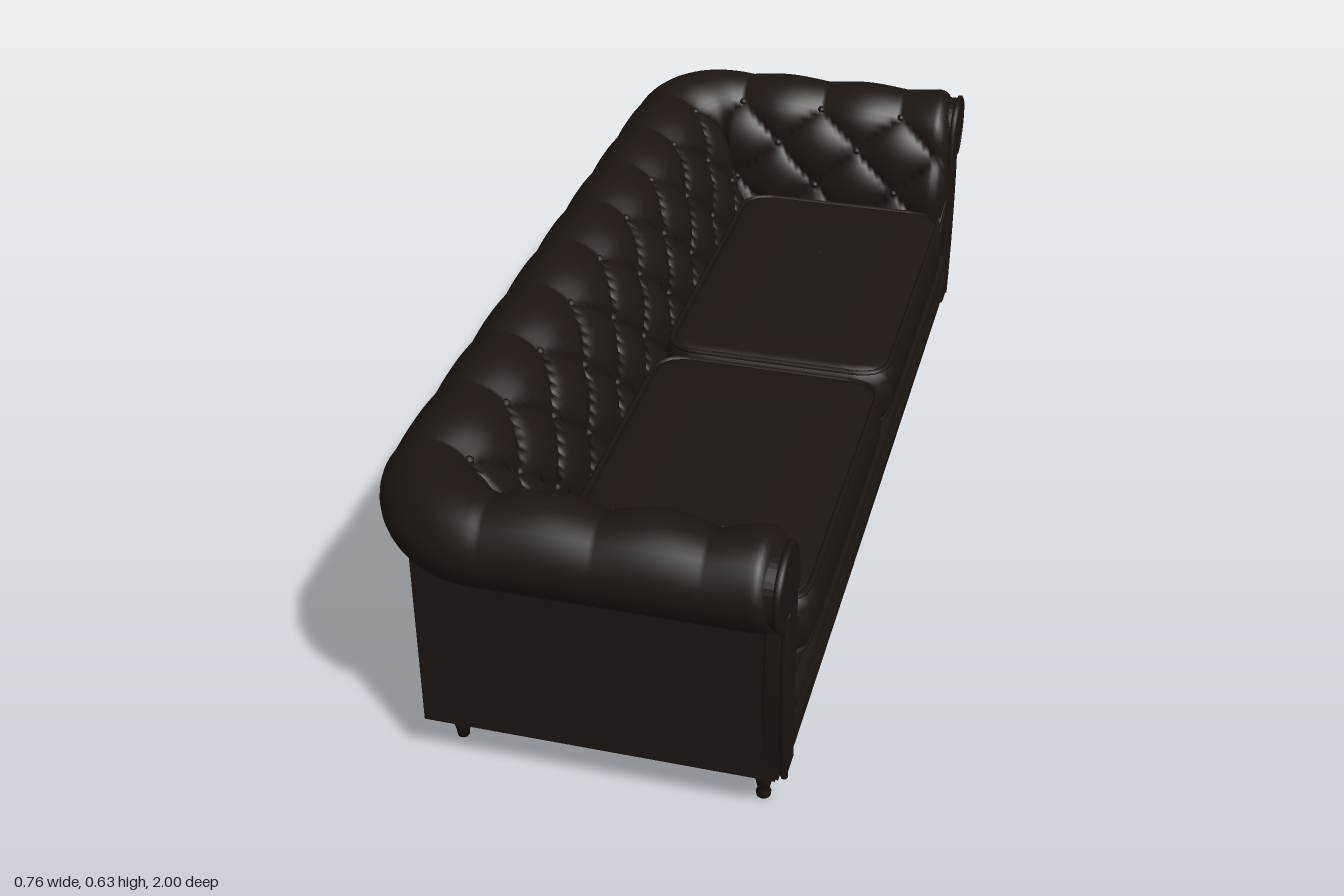
import * as THREE from 'three';
import { ParametricGeometry } from 'three/addons/geometries/ParametricGeometry.js';

const V3 = (x, y, z) => new THREE.Vector3(x, y, z);
const clamp = THREE.MathUtils.clamp;

// Cross-section of the padded back and arms: x = distance outward from the seat edge, y = height
const profile = new THREE.CatmullRomCurve3([
  [-0.01, 0.22], [0, 0.36], [0.015, 0.48], [0.05, 0.573], [0.1, 0.615], [0.15, 0.624],
  [0.195, 0.605], [0.225, 0.56], [0.226, 0.52], [0.2, 0.475], [0.16, 0.457], [0.11, 0.458],
].map(([d, y]) => V3(d, y, 0)));

// U-shaped plan: arm, corner, back, corner, arm
const CX = -0.155, CZ = 0.77, FRONT = 0.37;
const ARM = FRONT - CX, ARC = 0.16, HALF = CZ + ARC + ARM, PITCH = 0.19;

// Point on the tufted upholstery: s = distance along the U from its middle, v = 0..1 around the profile
function upholstery(s, v, out) {
  const p = profile.getPointAt(v), t = profile.getTangentAt(v);
  let d = p.x, y = p.y;
  // diamond puffs on the inside, running out as straight pleats over the roll
  const r = v * 8, row = Math.min(r, 4), k = s / PITCH;
  const f = Math.abs(Math.sin(Math.PI * (k + row / 2)) * Math.sin(Math.PI * (k - row / 2)));
  const amp = r < 4 ? 0.022 : 0.022 * Math.pow(clamp(1 - (r - 4) / 2.6, 0, 1), 1.5);
  const puff = amp * (Math.sqrt(f) - 0.7);
  d -= t.y * puff;
  y += t.x * puff;
  // rounded, closed front ends of the arms
  const e = clamp((HALF - Math.abs(s)) / 0.045, 0, 1);
  const close = Math.pow(1 - (1 - e) ** 2, 0.25);
  d = 0.1 + (d - 0.1) * close;
  y = 0.42 + (y - 0.42) * close;
  // place on the plan
  const a = Math.abs(s), side = s < 0 ? 1 : -1;
  const angle = clamp((a - CZ) / ARC, 0, 1) * Math.PI / 2;
  const lean = 0.055 * Math.cos(angle) ** 2 * clamp(1 - (y - 0.3) / 0.28, 0, 1);
  const x = CX + Math.max(0, a - CZ - ARC) - Math.cos(angle) * (d - lean);
  const z = Math.min(a, CZ) + Math.sin(angle) * d;
  return out.set(x, y, side * z);
}

// Rounded rectangle outline in plan, t = 0..1
function roundedOutline(w, l, radius) {
  const s = new THREE.Shape(), x = w / 2, y = l / 2, r = radius;
  s.moveTo(x, -y + r).lineTo(x, y - r).quadraticCurveTo(x, y, x - r, y);
  s.lineTo(-x + r, y).quadraticCurveTo(-x, y, -x, y - r);
  s.lineTo(-x, -y + r).quadraticCurveTo(-x, -y, -x + r, -y);
  s.lineTo(x - r, -y).quadraticCurveTo(x, -y, x, -y + r);
  return s;
}

export function createModel() {
  const model = new THREE.Group();
  model.name = 'sofa';
  const leather = new THREE.MeshStandardMaterial({ color: 0x1c1511 });
  const leatherOpen = new THREE.MeshStandardMaterial({ color: 0x1c1511, side: THREE.DoubleSide });
  const wood = new THREE.MeshStandardMaterial({ color: 0x18110d });

  const add = (name, geometry, x = 0, y = 0, z = 0, material = leather, parent = model) => {
    const mesh = new THREE.Mesh(geometry, material);
    mesh.name = name;
    mesh.position.set(x, y, z);
    parent.add(mesh);
    return mesh;
  };
  const block = (name, x0, x1, y0, y1, z0, z1) =>
    add(name, new THREE.BoxGeometry(x1 - x0, y1 - y0, z1 - z0), (x0 + x1) / 2, (y0 + y1) / 2, (z0 + z1) / 2);
  const piping = (name, points, radius, closed, parent = model) =>
    add(name, new THREE.TubeGeometry(new THREE.CatmullRomCurve3(points, closed, 'centripetal'),
      points.length * 2, radius, 6, closed), 0, 0, 0, leather, parent);

  // Frame
  block('seatBase', -0.295, 0.36, 0.1, 0.25, -0.9, 0.9);
  block('backPanel', -0.295, -0.21, 0.1, 0.5, -0.905, 0.905);
  for (const s of [1, -1]) block('armPanel', -0.294, 0.355, 0.1, 0.5, s > 0 ? 0.83 : -0.905, s > 0 ? 0.905 : -0.83);

  // Tufted rolled back and arms in one sweep
  add('tuftedBackAndArms', new ParametricGeometry(
    (u, v, out) => upholstery((u * 2 - 1) * HALF, v, out), 330, 48), 0, 0, 0, leatherOpen);

  // Buttons where the diamond folds cross
  const buttonGeometry = new THREE.SphereGeometry(0.009, 10, 6);
  for (let row = 2; row <= 4; row++) {
    for (let n = -8; n <= 8; n++) {
      const s = (n + (row % 2) / 2) * PITCH;
      if (Math.abs(s) > HALF - 0.06) continue;
      const p = upholstery(s, row / 8, V3());
      add('button', buttonGeometry, p.x, p.y, p.z);
    }
  }

  // Front rail and bead
  const rail = new THREE.Shape();
  rail.moveTo(0.33, 0.102).lineTo(0.358, 0.102).bezierCurveTo(0.382, 0.125, 0.382, 0.175, 0.366, 0.192);
  rail.lineTo(0.33, 0.195);
  add('frontRail', new THREE.ExtrudeGeometry(rail, { depth: 1.68, bevelEnabled: false, curveSegments: 10 }), 0, 0, -0.84);
  const bead = add('railBead', new THREE.CylinderGeometry(0.02, 0.02, 1.66, 14), 0.357, 0.222, 0);
  bead.rotation.x = Math.PI / 2;

  // Scrolled arm fronts, drawn as (z, y) and turned to face +x
  const scroll = new THREE.Shape();
  scroll.moveTo(0.838, 0.105).lineTo(0.893, 0.105);
  scroll.bezierCurveTo(0.922, 0.22, 0.922, 0.36, 0.906, 0.475);
  scroll.bezierCurveTo(0.945, 0.455, 0.987, 0.49, 0.987, 0.54);
  scroll.bezierCurveTo(0.987, 0.588, 0.95, 0.61, 0.91, 0.608);
  scroll.bezierCurveTo(0.85, 0.606, 0.838, 0.55, 0.838, 0.48);
  scroll.closePath();
  const outline = scroll.getPoints(10).slice(0, -1);
  for (const s of [1, -1]) {
    const mirrored = new THREE.Shape(outline.map(p => new THREE.Vector2(-s * p.x, p.y)));
    const geometry = new THREE.ExtrudeGeometry(mirrored, {
      depth: 0.03, bevelThickness: 0.006, bevelSize: 0.005, bevelOffset: -0.005, bevelSegments: 3,
    });
    geometry.rotateY(Math.PI / 2);
    add('armFront', geometry, 0.338, 0, 0);
    piping('armFrontPiping', outline.slice(1).map(p => V3(0.369, p.y, s * p.x)), 0.007, false);
  }

  // Seat cushions: plan outlines stacked as [inset, height]
  const W = 0.49, L = 0.765, R = 0.075;
  const layers = [[0.2, 0.25], [0.03, 0.25], [0.012, 0.258], [0.002, 0.285], [0, 0.32], [0.002, 0.355],
    [0.012, 0.381], [0.03, 0.388], [0.08, 0.393], [0.16, 0.396], [0.244, 0.397]];
  const rims = layers.map(([i]) => roundedOutline(W - 2 * i, L - 2 * i, Math.max(0.001, R - i * 0.3) * (1 - i / 0.245)));
  const rimPoints = rims.map(shape => shape.getSpacedPoints(72));
  for (const s of [1, -1]) {
    const cushion = new THREE.Group();
    cushion.name = 'seatCushion';
    cushion.position.set(0.134, 0, s * 0.387);
    model.add(cushion);
    const last = layers.length - 1;
    add('cushionBody', new ParametricGeometry((u, v, out) => {
      const i = Math.round(v * last), p = rimPoints[i][Math.round(clamp(u, 0, 1) * 72)];
      out.set(p.x, layers[i][1], -p.y);
    }, 72, last), 0, 0, 0, leatherOpen, cushion).geometry.computeVertexNormals();
    for (const i of [2, 6]) {
      piping('cushionPiping', rimPoints[i].slice(0, -1).map(p => V3(p.x, layers[i][1], -p.y)), 0.006, true, cushion);
    }
  }

  // Turned legs: taller at the front, shorter at the back
  const lathe = pts => new THREE.LatheGeometry(pts.map(([r, y]) => new THREE.Vector2(r, y)), 16);
  const frontLeg = lathe([[0, 0], [0.013, 0], [0.014, 0.008], [0.01, 0.013], [0.012, 0.022],
    [0.018, 0.05], [0.022, 0.075], [0.021, 0.102]]);
  const backLeg = lathe([[0, 0.014], [0.011, 0.014], [0.013, 0.03], [0.02, 0.055], [0.019, 0.072],
    [0.013, 0.088], [0.017, 0.102]]);
  for (const z of [-0.835, 0, 0.835]) {
    add('frontLeg', frontLeg, 0.32, 0, z, wood);
    add('backLeg', backLeg, -0.252, 0, z, wood);
  }
  return model;
}
